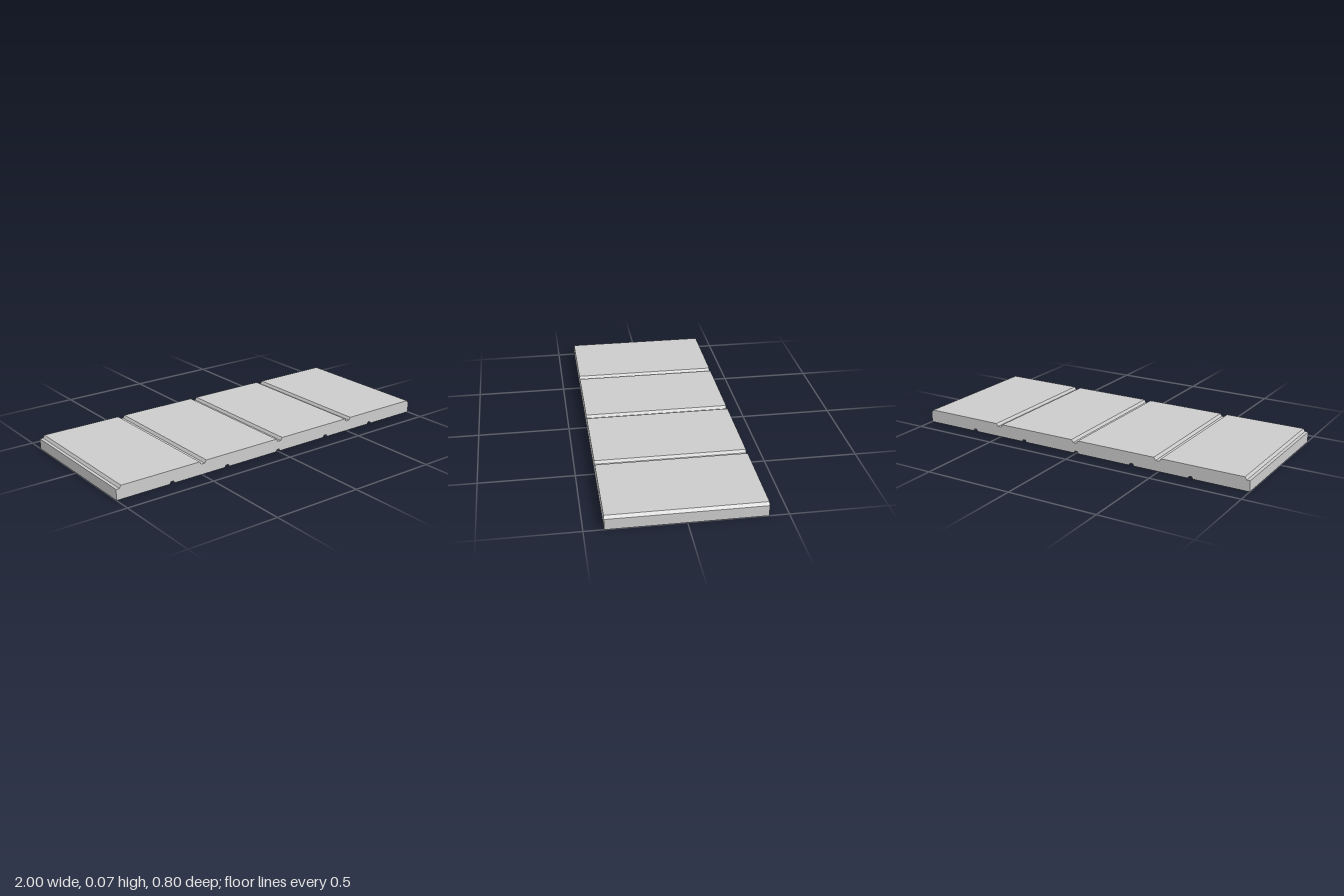
import * as THREE from 'three';

const TOP = 0.073, LEDGE = 0.058, DEPTH = 0.8;

export function createModel() {
  const group = new THREE.Group();
  group.name = 'groovedPanel';

  const points = [];
  const add = (x, y) => points.push(new THREE.Vector2(x, y));

  // underside with five narrow relief grooves
  add(-1, 0);
  for (let i = -2; i <= 2; i++) {
    const x = i * 0.34;
    add(x - 0.015, 0);
    add(x - 0.008, 0.012);
    add(x + 0.008, 0.012);
    add(x + 0.015, 0);
  }
  add(1, 0);

  // top face: four boards, each with a low ledge on one edge and a chamfer on the other
  for (let i = 3; i >= 0; i--) {
    const x = -1 + i * 0.5;
    add(x + 0.5 - (i < 3 ? 0.003 : 0), LEDGE);
    add(x + 0.487, TOP);
    add(x + 0.028, TOP);
    add(x + 0.018, LEDGE);
  }
  add(-1, LEDGE);

  // extrude the profile along the boards
  const geometry = new THREE.ExtrudeGeometry(new THREE.Shape(points), {
    depth: DEPTH, bevelEnabled: false,
  });
  geometry.translate(0, 0, -DEPTH / 2);

  const panel = new THREE.Mesh(geometry, new THREE.MeshStandardMaterial({ color: 0xcccccc }));
  panel.name = 'panel';
  group.add(panel);
  return group;
}
